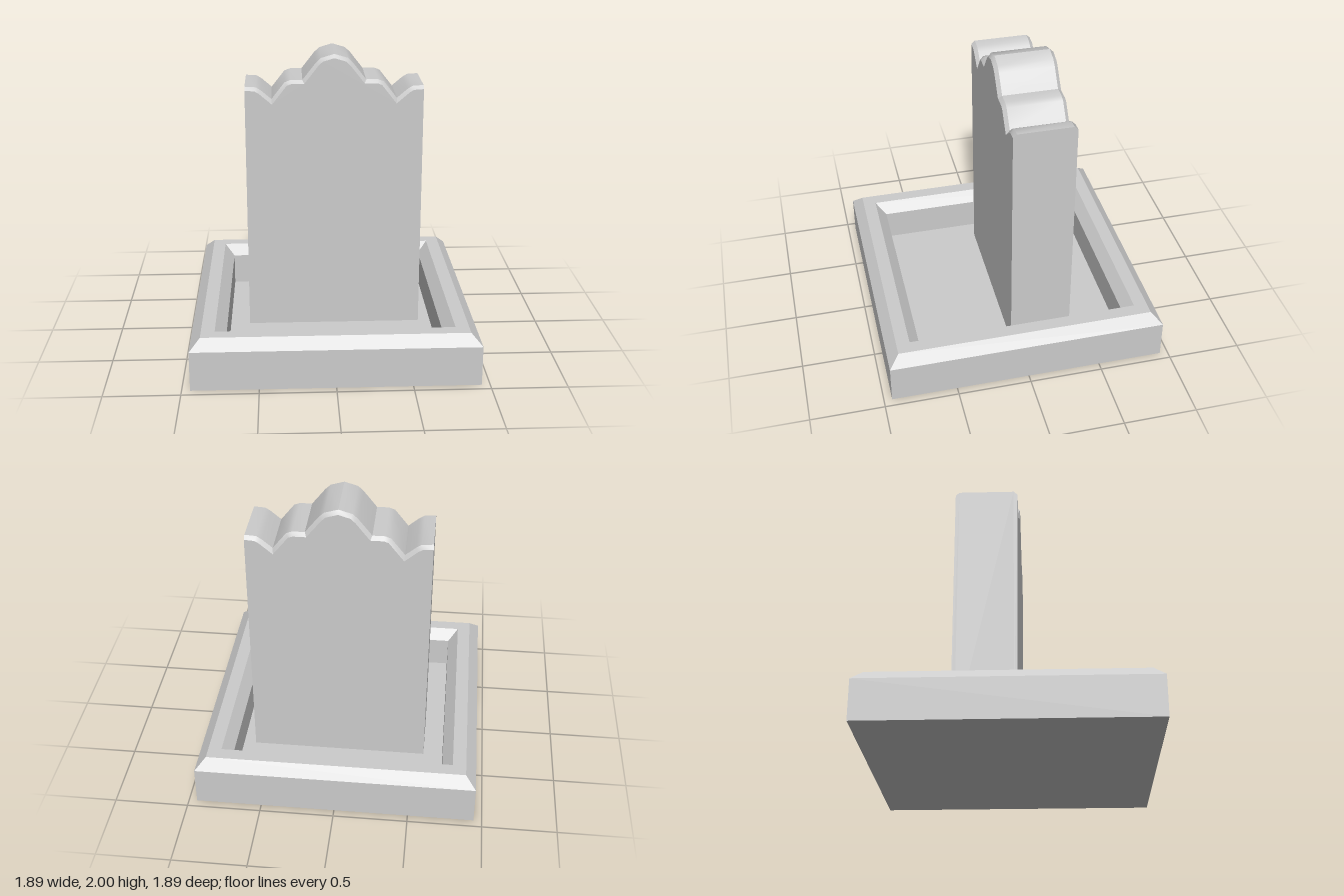
import * as THREE from 'three';
import { toCreasedNormals } from 'three/addons/utils/BufferGeometryUtils.js';

const FLOOR = 0.05;
const CENTRE_X = 0.025;

// Square tray: a four-sided lathe with chamfered rim and sunken floor
function createBase() {
  const profile = [
    [0, 0], [0.945, 0], [0.945, 0.27], [0.875, 0.34],
    [0.785, 0.34], [0.715, 0.27], [0.715, FLOOR], [0, FLOOR],
  ].map(([r, y]) => new THREE.Vector2(r * Math.SQRT2, y));
  const base = new THREE.Mesh(
    new THREE.LatheGeometry(profile, 4, Math.PI / 4),
    new THREE.MeshStandardMaterial({ color: 0xcccccc, flatShading: true }),
  );
  base.name = 'base';
  return base;
}

// Right half of the scalloped top, from the peak outwards
const halfTop = [
  [0, 2], [0.09, 1.973], [0.125, 1.94], [0.215, 1.825], [0.295, 1.825],
  [0.335, 1.81], [0.425, 1.695], [0.495, 1.755], [0.53, 1.777], [0.605, 1.782],
];

// Whole top from right to left
function topCurve() {
  const right = halfTop.map(([x, y]) => new THREE.Vector2(CENTRE_X + x, y)).reverse();
  const left = halfTop.slice(1).map(([x, y]) => new THREE.Vector2(CENTRE_X - x, y));
  return [...right, ...left];
}

// Move the top curve inwards by d with mitred corners; the ends drop straight down
function inset(curve, d) {
  const normal = (a, b) => new THREE.Vector2(b.y - a.y, a.x - b.x).normalize();
  return curve.map((p, i) => {
    if (i === 0 || i === curve.length - 1) return new THREE.Vector2(p.x, p.y - d);
    const n1 = normal(curve[i - 1], p);
    const n2 = normal(p, curve[i + 1]);
    const miter = n1.clone().add(n2).multiplyScalar(d / (1 + n1.dot(n2)));
    return p.clone().sub(miter);
  });
}

// Upright slab: cross-sections along z, with the top edge bevelled front and back
function createSlab() {
  const ridge = topCurve();
  const lower = inset(ridge, 0.023);
  const half = halfTop[halfTop.length - 1][0];
  const outline = (top) => [
    new THREE.Vector2(CENTRE_X - half, FLOOR),
    new THREE.Vector2(CENTRE_X + half, FLOOR),
    ...top,
  ];
  const sections = [
    [lower, 0.05], [ridge, 0.025], [ridge, -0.345], [lower, -0.37],
  ].map(([top, z]) => ({ points: outline(top), z }));

  const n = sections[0].points.length;
  const positions = [];
  const index = [];
  for (const { points, z } of sections) {
    for (const p of points) positions.push(p.x, p.y, z);
  }

  // Skin between neighbouring sections
  for (let k = 0; k < sections.length - 1; k++) {
    for (let i = 0; i < n; i++) {
      const j = (i + 1) % n;
      const a = k * n + i, b = k * n + j, c = b + n, d = a + n;
      index.push(a, d, c, a, c, b);
    }
  }

  // Front and back faces
  const last = (sections.length - 1) * n;
  for (const [a, b, c] of THREE.ShapeUtils.triangulateShape(sections[0].points, [])) {
    index.push(a, b, c, last + a, last + c, last + b);
  }

  const geometry = new THREE.BufferGeometry();
  geometry.setAttribute('position', new THREE.Float32BufferAttribute(positions, 3));
  geometry.setIndex(index);
  const slab = new THREE.Mesh(
    toCreasedNormals(geometry, 0.57),
    new THREE.MeshStandardMaterial({ color: 0xcccccc }),
  );
  slab.name = 'uprightSlab';
  return slab;
}

export function createModel() {
  const model = new THREE.Group();
  model.name = 'headstone';
  model.add(createBase(), createSlab());
  return model;
}
